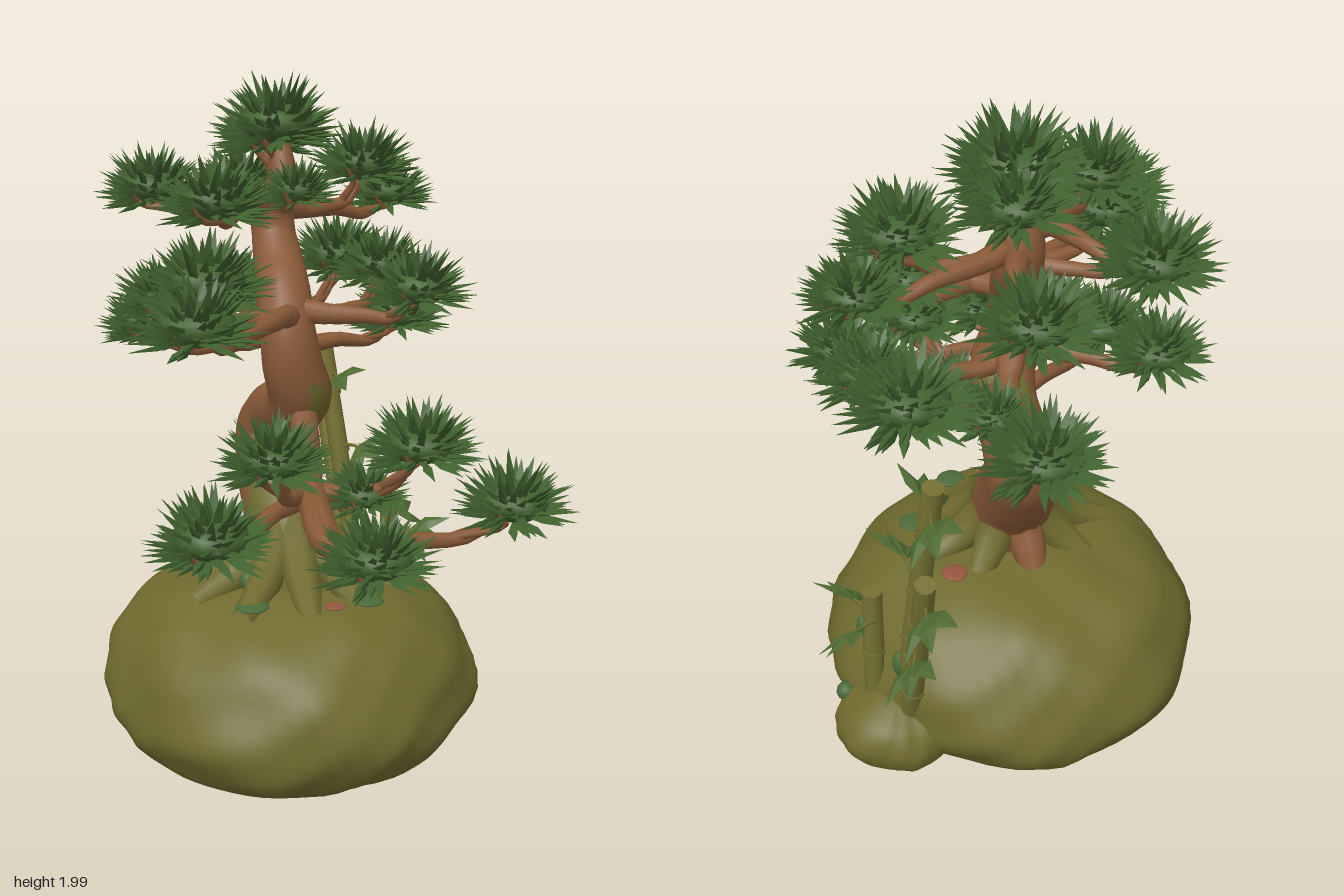
import * as THREE from 'three';
import { mergeVertices } from 'three/addons/utils/BufferGeometryUtils.js';

const V = (x, y, z) => new THREE.Vector3(x, y, z);
const mat = (name, color, double) => {
  const m = new THREE.MeshStandardMaterial({ color });
  m.name = name;
  if (double) m.side = THREE.DoubleSide;
  return m;
};

function seeded(seed) {
  return () => {
    seed = (seed * 16807) % 2147483647;
    return seed / 2147483647;
  };
}

// Tapered tube through points [x, y, z, radius]
function limbGeometry(points, steps = 20, sides = 8) {
  const curve = new THREE.CatmullRomCurve3(points.map(p => V(p[0], p[1], p[2])));
  const geo = new THREE.TubeGeometry(curve, steps, 1, sides, false);
  const pos = geo.attributes.position;
  const v = V(0, 0, 0);
  for (let i = 0; i <= steps; i++) {
    const c = curve.getPointAt(i / steps);
    const t = curve.getUtoTmapping(i / steps) * (points.length - 1);
    const k = Math.min(Math.floor(t), points.length - 2);
    const r = THREE.MathUtils.lerp(points[k][3], points[k + 1][3], t - k);
    for (let j = 0; j <= sides; j++) {
      const n = i * (sides + 1) + j;
      v.fromBufferAttribute(pos, n).sub(c).multiplyScalar(r).add(c);
      pos.setXYZ(n, v.x, v.y, v.z);
    }
  }
  return geo;
}

// Puts the faces that satisfy rule(x, y, z) in a second material group
function splitFaces(geo, rule) {
  const parts = [[], []], pos = geo.attributes.position, idx = geo.index.array;
  for (let i = 0; i < idx.length; i += 3) {
    const c = V(0, 0, 0);
    for (let j = 0; j < 3; j++) c.add(V(0, 0, 0).fromBufferAttribute(pos, idx[i + j]));
    c.divideScalar(3);
    parts[rule(c.x, c.y, c.z) ? 1 : 0].push(idx[i], idx[i + 1], idx[i + 2]);
  }
  geo.setIndex([...parts[0], ...parts[1]]);
  geo.clearGroups();
  geo.addGroup(0, parts[0].length, 0);
  geo.addGroup(parts[0].length, parts[1].length, 1);
  return geo;
}

// Lumpy boulder turned from a profile, with a flat base
function boulderGeometry(profile, bump, phase) {
  const curve = new THREE.SplineCurve(profile.map(p => new THREE.Vector2(p[0], p[1])));
  let geo = new THREE.LatheGeometry(curve.getPoints(44).map(p => p.setX(Math.max(p.x, 0))), 72);
  const pos = geo.attributes.position;
  for (let i = 0; i < pos.count; i++) {
    const x = pos.getX(i), y = pos.getY(i), z = pos.getZ(i), a = Math.atan2(z, x);
    const n = Math.sin(3 * a + phase + y * 5) * 0.45 + Math.sin(7 * a - y * 17 + phase) * 0.3
      + Math.sin(11 * a + y * 37 + 2 * Math.sin(4 * a)) * 0.25;
    const k = 1 + bump * n;
    pos.setXYZ(i, x * k, Math.max(0, y + (y > 0.05 ? bump * 0.2 * Math.sin(x * 19 + phase) * Math.cos(z * 17) : 0)), z * k);
  }
  geo.deleteAttribute('uv');
  geo.deleteAttribute('normal');
  geo = mergeVertices(geo, 1e-4);
  geo.computeVertexNormals();
  return geo;
}

// Unit tuft of three-sided needles fanning over a dome
function tuftGeometry(seed, count = 140) {
  const rnd = seeded(seed), out = [];
  for (let i = 0; i < count; i++) {
    const h = -0.16 + 1.14 * (i + 0.5) / count, a = i * 2.39996 + rnd() * 0.5;
    const s = Math.sqrt(Math.max(0, 1 - h * h));
    const dir = V(Math.cos(a) * s, h + (rnd() - 0.5) * 0.2, Math.sin(a) * s).normalize();
    const len = 0.84 + rnd() * 0.26;
    const u = V(-Math.sin(a), 0, Math.cos(a)), w = V(0, 0, 0).crossVectors(dir, u).normalize();
    const base = dir.clone().multiplyScalar(0.2), tip = dir.clone().multiplyScalar(len);
    const ring = [0, 1, 2].map(j => dir.clone().multiplyScalar(0.58)
      .addScaledVector(u, 0.095 * Math.cos(j * 2.0944)).addScaledVector(w, 0.05 * Math.sin(j * 2.0944)));
    for (let j = 0; j < 3; j++) {
      const p = ring[j], q = ring[(j + 1) % 3];
      for (const v of [p, q, tip, q, p, base]) out.push(v.x, v.y, v.z);
    }
  }
  const geo = new THREE.BufferGeometry();
  geo.setAttribute('position', new THREE.Float32BufferAttribute(out, 3));
  geo.computeVertexNormals();
  return geo;
}

export function createModel() {
  const model = new THREE.Group();
  const moss = mat('moss', 0x6f6a2e), bark = mat('bark', 0x8a5a38), needle = mat('needle green', 0x40602e),
    cane = mat('bamboo', 0x747032), leaf = mat('bamboo leaf', 0x4f6a32, true), patch = mat('patch green', 0x4a6a3a),
    clay = mat('reddish lichen', 0x96573f);
  const add = (name, geo, material, parent = model) => {
    const m = new THREE.Mesh(geo, material);
    m.name = name;
    parent.add(m);
    return m;
  };

  // Mossy mound and the small rock beside it
  const mound = add('mound', boulderGeometry([[0, 0], [0.3, 0], [0.46, 0.01], [0.54, 0.08], [0.57, 0.18], [0.53, 0.31],
    [0.45, 0.415], [0.35, 0.475], [0.18, 0.515], [0, 0.525]], 0.04, 1), moss);
  mound.position.z = -0.065;
  mound.scale.z = 1.03;
  const rock = add('smallRock', boulderGeometry([[0, 0], [0.09, 0.0], [0.16, 0.04], [0.185, 0.11], [0.155, 0.18],
    [0.08, 0.225], [0, 0.235]], 0.05, 2), moss);
  rock.position.set(0.405, 0.01, -0.37);

  // Twisting trunk, mossy on the lower front and on the bend
  const trunk = limbGeometry([[0, 0.44, -0.02, 0.15], [0, 0.58, -0.05, 0.135], [0, 0.69, -0.11, 0.125], [0, 0.8, -0.2, 0.115],
    [0.01, 0.91, -0.26, 0.105], [0.02, 0.985, -0.2, 0.095], [0.02, 1.02, -0.09, 0.09], [0.01, 1.09, -0.005, 0.095],
    [-0.02, 1.18, 0.015, 0.088], [-0.03, 1.28, 0, 0.08], [-0.02, 1.37, -0.06, 0.08], [0, 1.44, -0.15, 0.075],
    [0.01, 1.52, -0.22, 0.065], [0.01, 1.6, -0.23, 0.065], [0.03, 1.67, -0.2, 0.05], [0.04, 1.8, -0.25, 0.025]], 90, 16);
  add('trunk', splitFaces(trunk, (x, y, z) => (y < 0.83 && z > -0.06 - (y - 0.6) * 0.4)
    || (y > 1.045 && y < 1.12 && z < -0.06 && x > -0.04) || (y > 1 && y < 1.13 && z > 0.06 && x > 0)), [bark, moss]);

  // Flared roots
  for (let i = 0; i < 9; i++) {
    const a = i / 9 * Math.PI * 2 + 0.35, c = Math.cos(a), s = Math.sin(a), r = 0.28 + 0.04 * Math.sin(i * 5);
    add('root', limbGeometry([[c * 0.05, 0.74, -0.1 + s * 0.05, 0.045], [c * 0.1, 0.62, -0.06 + s * 0.1, 0.062],
      [c * 0.18, 0.54, -0.03 + s * 0.17, 0.052], [c * r, 0.475, -0.01 + s * r * 0.92, 0.035]], 12), i === 6 ? bark : moss);
  }

  // Lichen patches on the mound, the rock and the canes: [x, y, z, radius, height ratio]
  const lichen = (material, spots) => spots.forEach(([x, y, z, r, k]) => {
    const p = add('lichenPatch', new THREE.SphereGeometry(r, 12, 8), material);
    p.scale.y = k;
    p.position.set(x, y, z);
  });
  lichen(patch, [[0.13, 0.512, 0.24, 0.045, 0.2], [-0.2, 0.512, 0.16, 0.05, 0.2], [0.28, 0.507, 0.05, 0.045, 0.2],
    [0.09, 0.565, 0.11, 0.03, 1], [-0.17, 0.545, 0.05, 0.03, 1], [0.55, 0.18, -0.3, 0.03, 1],
    [0.49, 0.47, -0.345, 0.02, 1.8], [0.4, 0.4, -0.45, 0.024, 1.8]]);
  lichen(clay, [[0.2, 0.512, -0.22, 0.04, 0.2], [-0.11, 0.63, -0.08, 0.035, 1.2], [0.02, 0.515, 0.25, 0.03, 0.2]]);

  // A branch forks at its bend to needle pads given as [x, y, z, size]
  const tufts = [11, 222, 3333].map(s => tuftGeometry(s));
  const heart = new THREE.SphereGeometry(0.58, 12, 8);
  let n = 0;
  const branch = (start, bend, ...pads) => {
    for (const [x, y, z, size] of pads) {
      const thick = bend[1] < 0.9 ? 0.034 : 0.03;
      const at = (t, lift) => [bend[0] + (x - bend[0]) * t, bend[1] + (y - bend[1]) * t * t + lift, bend[2] + (z - bend[2]) * t];
      add('branch', limbGeometry([[...start, thick + 0.008], [...bend, thick], [...at(0.4, -0.012), thick * 0.75],
        [...at(0.75, -0.035), thick * 0.55], [x, y + 0.02, z, 0.007]], 18), bark);
      // Side twigs under the tuft
      for (const side of [-1, 1]) {
        const p = at(0.65, -0.025);
        add('twig', limbGeometry([[...p, 0.014], [x + side * size * 0.3, y - 0.01, z - side * size * 0.3, 0.01],
          [x + side * size * 0.5, y + 0.03, z - side * size * 0.4, 0.004]], 8, 5), bark);
      }
      const tuft = new THREE.Group();
      tuft.name = 'needlePad';
      tuft.position.set(x, y, z);
      tuft.rotation.y = n * 1.7;
      tuft.scale.set(size * 1.05, size, size * 1.05);
      add('needles', tufts[n++ % 3], needle, tuft);
      const h = add('padCore', heart, needle, tuft);
      h.scale.y = 0.55;
      h.position.y = 0.22;
      model.add(tuft);
    }
  };
  // Low front limb
  branch([0, 1.04, 0.05], [-0.02, 0.85, 0.15], [-0.43, 0.84, 0.5, 0.17], [-0.22, 1.0, 0.4, 0.165],
    [0.2, 1.0, 0.42, 0.165], [0.1, 0.83, 0.27, 0.13]);
  branch([-0.02, 0.86, 0.14], [-0.1, 0.81, 0.53], [-0.07, 0.82, 0.73, 0.165], [0.43, 0.84, 0.53, 0.165]);
  // Middle limbs
  branch([-0.02, 1.32, -0.02], [-0.08, 1.34, 0.1], [-0.43, 1.38, 0.42, 0.17], [-0.33, 1.44, 0.18, 0.18], [-0.4, 1.38, 0.02, 0.15]);
  branch([-0.02, 1.34, -0.02], [0.08, 1.33, 0.06], [0.3, 1.38, 0.16, 0.16], [0.28, 1.41, -0.05, 0.15]);
  branch([0, 1.35, -0.05], [-0.08, 1.22, -0.15], [-0.36, 1.24, -0.3, 0.15]);
  branch([0, 1.38, -0.08], [0.06, 1.2, -0.16], [0.42, 1.22, -0.22, 0.155]);
  branch([0.01, 1.45, -0.16], [0.06, 1.24, -0.32], [0.05, 1.23, -0.71, 0.17], [0.36, 1.34, -0.56, 0.18], [0.13, 1.22, -0.48, 0.12]);
  // Crown
  branch([0.01, 1.63, -0.22], [-0.07, 1.62, -0.19], [-0.25, 1.63, 0.02, 0.17], [-0.29, 1.61, -0.46, 0.165]);
  branch([0.01, 1.6, -0.22], [0.12, 1.58, -0.28], [0.46, 1.57, -0.4, 0.145], [0.33, 1.67, -0.3, 0.17]);
  branch([0.01, 1.57, -0.23], [0.05, 1.58, -0.36], [0.06, 1.58, -0.65, 0.165]);
  branch([0.03, 1.67, -0.2], [0.04, 1.7, -0.22], [0.03, 1.8, -0.25, 0.19], [0.05, 1.76, -0.39, 0.16], [0.04, 1.64, -0.1, 0.12]);

  // Bamboo canes with joints
  const canes = [[V(0.4, 0.15, -0.41), V(0.31, 1.11, -0.58), 0.033], [V(0.38, 0.15, -0.43), V(0.35, 0.86, -0.66), 0.032],
    [V(0.47, 0.15, -0.35), V(0.46, 0.6, -0.355), 0.031]];
  for (const [a, b, r] of canes) {
    const dir = b.clone().sub(a), len = dir.length(), count = Math.round(len / 0.19), seg = len / count;
    const g = new THREE.Group();
    g.name = 'bambooCane';
    g.position.copy(a);
    g.quaternion.setFromUnitVectors(V(0, 1, 0), dir.normalize());
    for (let i = 0; i < count; i++) {
      add('caneSegment', new THREE.CylinderGeometry(r * 0.92, r, seg, 12), cane, g).position.y = (i + 0.5) * seg;
      add('caneJoint', new THREE.CylinderGeometry(r * 1.08, r * 1.08, 0.014, 12), cane, g).position.y = i * seg;
    }
    model.add(g);
  }

  // Bamboo leaves: folded blades in fans of three, [x, y, z, direction x, direction z]
  const blade = new THREE.BufferGeometry();
  blade.setAttribute('position', new THREE.Float32BufferAttribute(
    [0, 0, 0, 0.45, 0, 0.2, 0.5, 0.07, 0, 1, -0.08, 0, 0.45, 0, -0.2], 3));
  blade.setIndex([0, 1, 2, 1, 3, 2, 0, 2, 4, 2, 3, 4]);
  const foldedBlade = blade.toNonIndexed();
  foldedBlade.computeVertexNormals();
  for (const [x, y, z, dx, dz] of [[0.33, 0.97, -0.53, -0.2, 1], [0.32, 1.02, -0.58, 0.1, -1], [0.36, 0.74, -0.47, 0.2, 1],
    [0.35, 0.77, -0.64, 0.1, -1], [0.47, 0.48, -0.32, 0.6, 1], [0.37, 0.55, -0.58, 0.3, -1], [0.46, 0.5, -0.38, 0.8, -0.6]]) {
    const fan = new THREE.Group();
    fan.name = 'bambooLeaves';
    fan.position.set(x, y, z);
    fan.rotation.y = Math.atan2(-dz, dx);
    add('leafStem', limbGeometry([[-0.03, 0, 0, 0.007], [0.03, 0.02, 0, 0.006], [0.07, 0.02, 0, 0.004]], 6, 5), cane, fan);
    for (let i = -1; i <= 1; i++) {
      const l = add('leaf', foldedBlade, leaf, fan);
      l.position.set(0.05, 0.02, 0);
      l.rotation.set(0.5, i * 0.55, i * 0.4, 'YZX');
      l.scale.setScalar(0.145);
    }
    model.add(fan);
  }
  return model;
}
